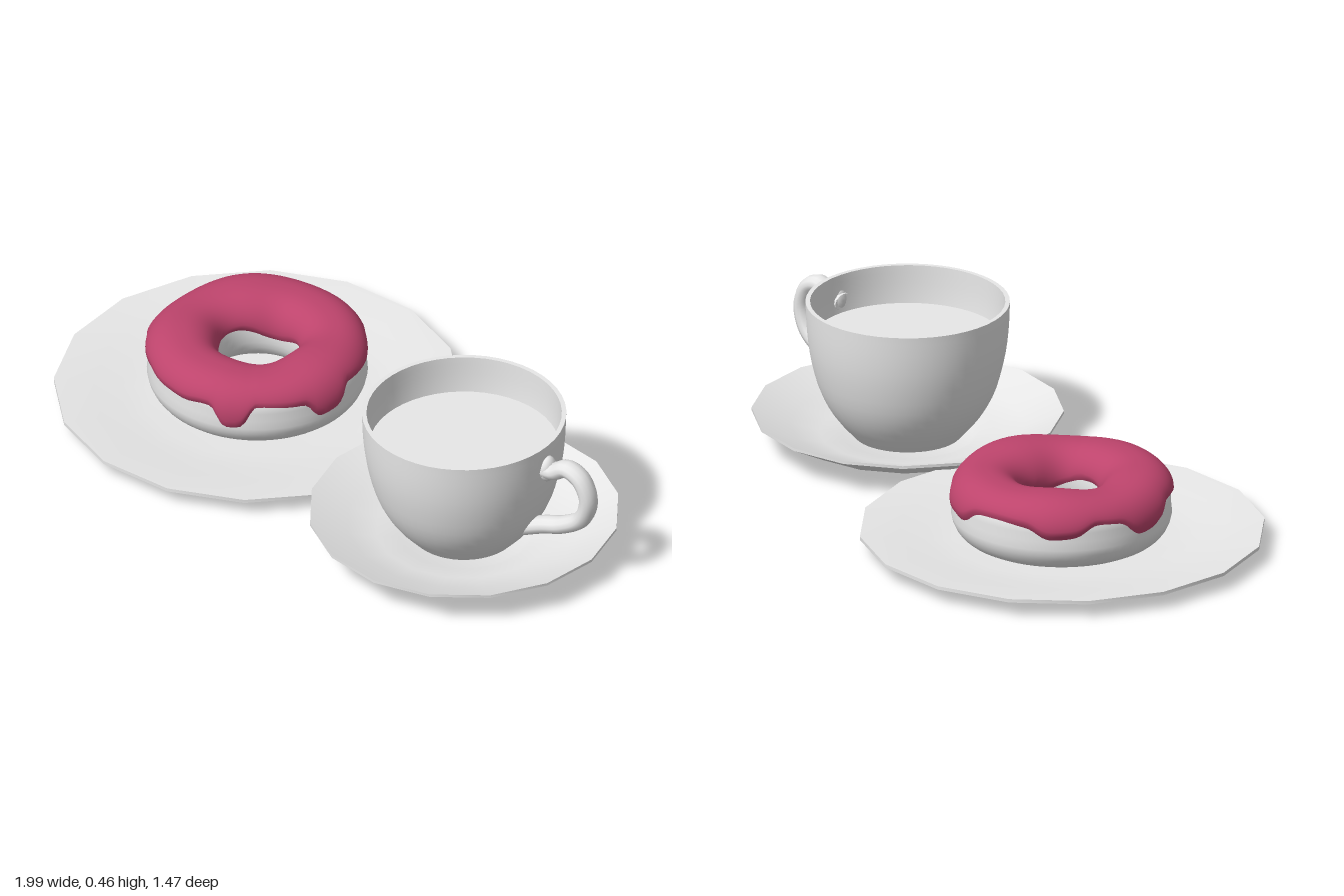
import * as THREE from 'three';
import { mergeVertices, toCreasedNormals } from 'three/addons/utils/BufferGeometryUtils.js';

const white = new THREE.MeshStandardMaterial({ color: 0xe7e7e7 });
white.name = 'porcelain white';
const pink = new THREE.MeshStandardMaterial({ color: 0xbd446c });
pink.name = 'icing pink';

function add(parent, name, geometry, material) {
  const mesh = new THREE.Mesh(geometry, material);
  mesh.name = name;
  parent.add(mesh);
  return mesh;
}

// Profile of [radius, height] pairs, running from underneath, outwards and over the top
function lathe(points, sides) {
  const geometry = new THREE.LatheGeometry(points.map(([r, y]) => new THREE.Vector2(r, y)), sides);
  return toCreasedNormals(geometry, 0.6);
}

// Smoothly resample a profile
function smooth(points, count) {
  const curve = new THREE.SplineCurve(points.map(([r, y]) => new THREE.Vector2(r, y)));
  return curve.getPoints(count).map((p) => [p.x, p.y]);
}

// Grid closed around the y axis: fn(theta, v) gives [radius, height]
function ringSurface(cols, rows, fn) {
  const geometry = new THREE.PlaneGeometry(1, 1, cols, rows);
  const pos = geometry.attributes.position;
  for (let i = 0; i < pos.count; i++) {
    const theta = -(pos.getX(i) + 0.5) * Math.PI * 2;
    const [r, y] = fn(theta, pos.getY(i) + 0.5);
    pos.setXYZ(i, r * Math.cos(theta), y, r * Math.sin(theta));
  }
  geometry.deleteAttribute('uv');
  geometry.deleteAttribute('normal');
  const merged = mergeVertices(geometry, 1e-4);
  merged.computeVertexNormals();
  return merged;
}

// Rounded cross-section of the doughnut, grown by an offset
const MID = 0.14;
function section(phi, offset = 0) {
  const c = Math.cos(phi), s = Math.sin(phi);
  const round = (t) => Math.sign(t) * Math.abs(t) ** 0.85;
  return [0.235 + (0.103 + offset) * round(c), MID + (0.108 + offset) * round(s)];
}

// Drips: direction in degrees, lowest height, angular width
const drips = [
  [77, 0.108, 7], [24, 0.12, 8], [180, 0.13, 11], [-57, 0.145, 12], [-128, 0.15, 11], [115, 0.168, 13],
];
function icingEdge(theta) {
  let y = 0.187 + 0.005 * Math.sin(theta * 7);
  for (const [angle, low, width] of drips) {
    let d = THREE.MathUtils.radToDeg(theta) - angle;
    d -= 360 * Math.round(d / 360);
    y -= (0.187 - low) * Math.exp(-((d / width) ** 4) * 0.4);
  }
  return y;
}

function buildDoughnut() {
  const group = new THREE.Group();
  group.name = 'doughnut';
  group.position.set(-0.385, 0, -0.13);

  // Dough with a faint waist round the outside
  add(group, 'dough', ringSurface(72, 32, (theta, v) => {
    const phi = v * Math.PI * 2;
    const [r, y] = section(phi);
    const waist = Math.cos(phi) > 0 ? 0.006 * Math.exp(-(((y - 0.15) / 0.02) ** 2)) : 0;
    return [r - waist, y];
  }), white);

  // Icing shell from the dripping outer edge over the top and into the hole
  add(group, 'icing', ringSurface(144, 28, (theta, v) => {
    const low = THREE.MathUtils.clamp((icingEdge(theta) - MID) / 0.12, -0.9, 0.9);
    const start = Math.asin(Math.sign(low) * Math.abs(low) ** (1 / 0.85));
    const end = Math.PI - 0.05 + 0.12 * Math.sin(theta * 3);
    const phi = start + (end - start) * v;
    const edge = Math.sqrt(Math.max(0, 1 - Math.abs(2 * v - 1) ** 10));
    const wave = 0.004 * Math.sin(theta * 3 + 1) + 0.003 * Math.sin(theta * 5);
    return section(phi, -0.004 + edge * (0.018 + wave));
  }), pink);
  return group;
}

function buildCup() {
  const group = new THREE.Group();
  group.name = 'cup';

  const outside = smooth([[0.165, 0.03], [0.225, 0.1], [0.268, 0.18], [0.295, 0.28], [0.307, 0.37], [0.311, 0.46]], 14);
  const inside = smooth([[0.297, 0.46], [0.293, 0.37], [0.28, 0.28], [0.25, 0.18], [0.15, 0.07]], 12);
  add(group, 'cupBody', lathe([[0, 0.03], ...outside, ...inside, [0, 0.06]], 48), white);

  // Drink surface
  const drink = add(group, 'drink', new THREE.CircleGeometry(0.289, 48), white);
  drink.rotation.x = -Math.PI / 2;
  drink.position.y = 0.34;

  // Looped handle
  const path = [[0.285, 0.375], [0.335, 0.378], [0.385, 0.405], [0.435, 0.385],
    [0.463, 0.32], [0.44, 0.245], [0.37, 0.195], [0.3, 0.168], [0.2, 0.12]];
  const curve = new THREE.CatmullRomCurve3(path.map(([x, y]) => new THREE.Vector3(x, y, 0)));
  const handle = add(group, 'handle', new THREE.TubeGeometry(curve, 48, 0.027, 12), white);
  handle.scale.z = 1.25;

  // Knob where the handle meets the wall
  const knob = add(group, 'handleKnob', new THREE.SphereGeometry(0.036, 16, 12), white);
  knob.position.set(0.312, 0.378, 0);
  knob.scale.set(0.7, 1.2, 0.9);
  return group;
}

export function createModel() {
  const model = new THREE.Group();
  model.name = 'coffeeAndDoughnut';

  // Plate
  const plate = add(model, 'plate', lathe([
    [0, 0.003], [0.17, 0.003], [0.2, 0.009], [0.38, 0.014], [0.5, 0.026], [0.62, 0.045],
    [0.62, 0.056], [0.5, 0.046], [0.42, 0.034], [0.34, 0.03], [0, 0.03],
  ], 16), white);
  plate.position.set(-0.38, 0, -0.12);

  model.add(buildDoughnut());

  // Cup and saucer, turned together
  const set = new THREE.Group();
  set.name = 'cupAndSaucer';
  set.position.set(0.51, 0, 0.265);
  set.rotation.y = -0.16;
  add(set, 'saucer', lathe([
    [0, 0], [0.2, 0.002], [0.26, 0.01], [0.35, 0.034], [0.475, 0.098],
    [0.475, 0.107], [0.36, 0.06], [0.27, 0.034], [0.215, 0.03], [0.2, 0.024], [0, 0.024],
  ], 16), white);
  set.add(buildCup());
  model.add(set);
  return model;
}
